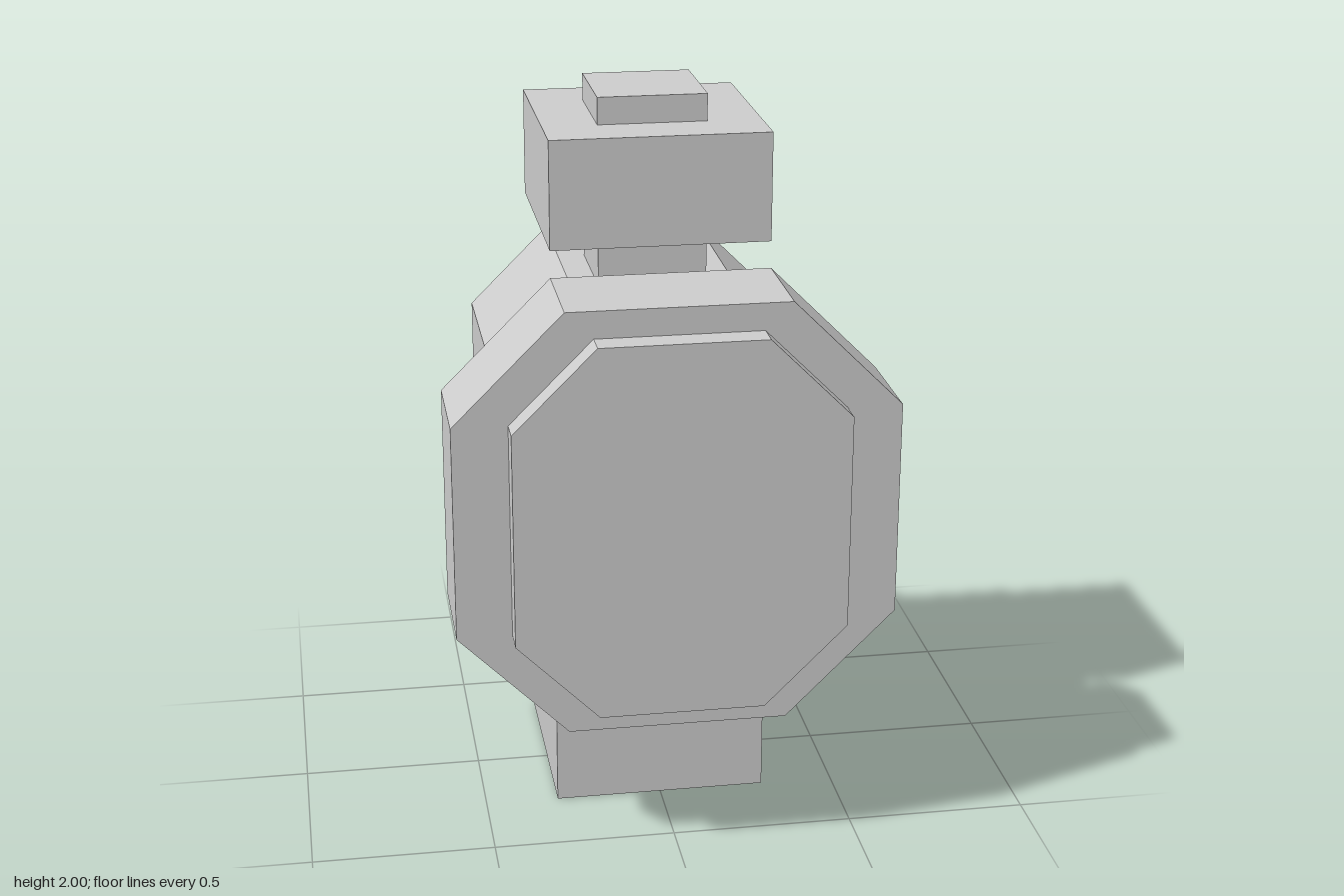
import * as THREE from 'three';

const U = 2 / 27; // one grid step of the blocky design
const material = new THREE.MeshStandardMaterial({ color: 0xcccccc, flatShading: true });

function add(parent, name, geometry) {
  const mesh = new THREE.Mesh(geometry.scale(U, U, U), material);
  mesh.name = name;
  parent.add(mesh);
}

// Box from its minimum and maximum corners, in grid steps
function box(parent, name, min, max) {
  const size = max.map((v, i) => v - min[i]);
  const centre = max.map((v, i) => (v + min[i]) / 2);
  add(parent, name, new THREE.BoxGeometry(...size).translate(...centre));
}

// Chamfered eight-sided block along z: half width and height, then half lengths of the flats
function octagon(parent, name, w, h, flatX, flatY, z0, z1) {
  const corners = [[flatX, -h], [w, -flatY], [w, flatY], [flatX, h],
    [-flatX, h], [-w, flatY], [-w, -flatY], [-flatX, -h]];
  const shape = new THREE.Shape(corners.map(([x, y]) => new THREE.Vector2(x, y)));
  const geometry = new THREE.ExtrudeGeometry(shape, { depth: z1 - z0, bevelEnabled: false });
  add(parent, name, geometry.translate(0, 13, z0));
}

export function createModel() {
  const model = new THREE.Group();
  model.name = 'octagonalDevice';

  // Main barrel, its wide front collar and the rear knob
  octagon(model, 'body', 6, 7, 3, 4, -6.5, 8.5);
  octagon(model, 'collar', 8, 8, 4, 4, 3.5, 7.5);
  box(model, 'rearKnob', [-2, 11, -8.5], [2, 15, -6.5]);

  // Lower foot on its neck
  box(model, 'foot', [-4, 0, -4.5], [4, 4, 3.5]);
  box(model, 'lowerNeck', [-2, 4, -2.5], [2, 6, 1.5]);

  // Upper neck, block and small top button
  box(model, 'upperNeck', [-2, 20, -2.5], [2, 22, 1.5]);
  box(model, 'topBlock', [-4, 22, -4.5], [4, 26, 3.5]);
  box(model, 'topButton', [-2, 26, -2.5], [2, 27, 1.5]);

  return model;
}
